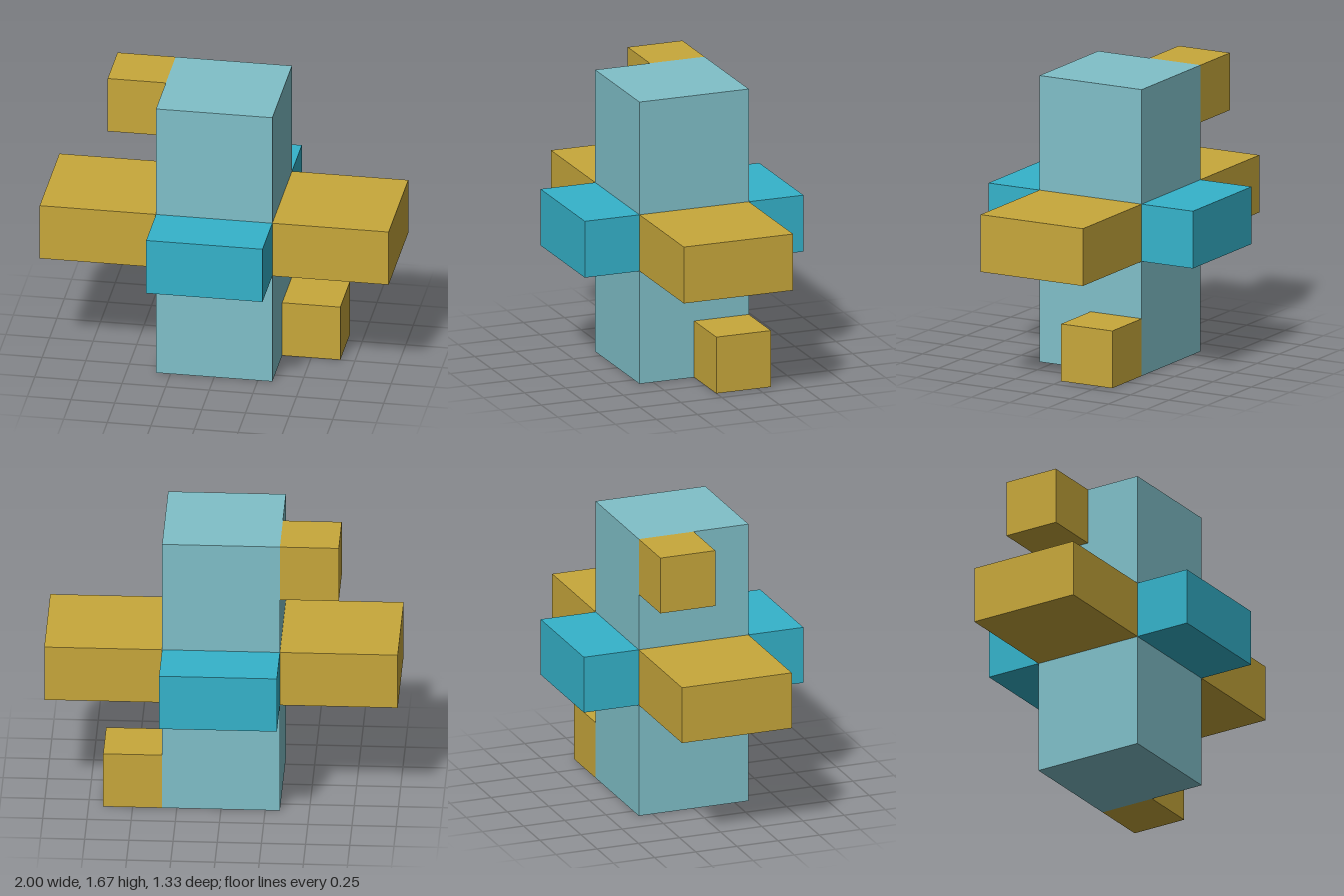
import * as THREE from 'three';

const U = 1 / 3; // module size that every block is a multiple of

export function createModel() {
  const model = new THREE.Group();
  model.name = 'blockTower';

  const material = (name, color) => {
    const m = new THREE.MeshStandardMaterial({ color });
    m.name = name;
    return m;
  };
  const paleTeal = material('paleTeal', 0x80c0c9);
  const gold = material('gold', 0xc8a83b);
  const cyan = material('cyan', 0x35b3cb);

  // Box given by its size and centre, both in modules
  const block = (name, mat, size, centre) => {
    const mesh = new THREE.Mesh(new THREE.BoxGeometry(...size.map((s) => s * U)), mat);
    mesh.position.set(...centre).multiplyScalar(U);
    mesh.name = name;
    model.add(mesh);
  };

  // Central square column
  block('column', paleTeal, [2, 5, 2], [0, 2.5, 0]);

  // Wide side arms and short front and back arms at mid height
  for (const s of [1, -1]) {
    block(s > 0 ? 'leftArm' : 'rightArm', gold, [2, 1, 2], [s * 2, 2.5, 0]);
    block(s > 0 ? 'frontArm' : 'backArm', cyan, [2, 1, 1], [0, 2.5, s * 1.5]);
  }

  // Small cubes at opposite ends of the column, flush with its back
  block('upperCube', gold, [1, 1, 1], [-1.5, 4.5, -0.5]);
  block('lowerCube', gold, [1, 1, 1], [1.5, 0.5, -0.5]);

  return model;
}
